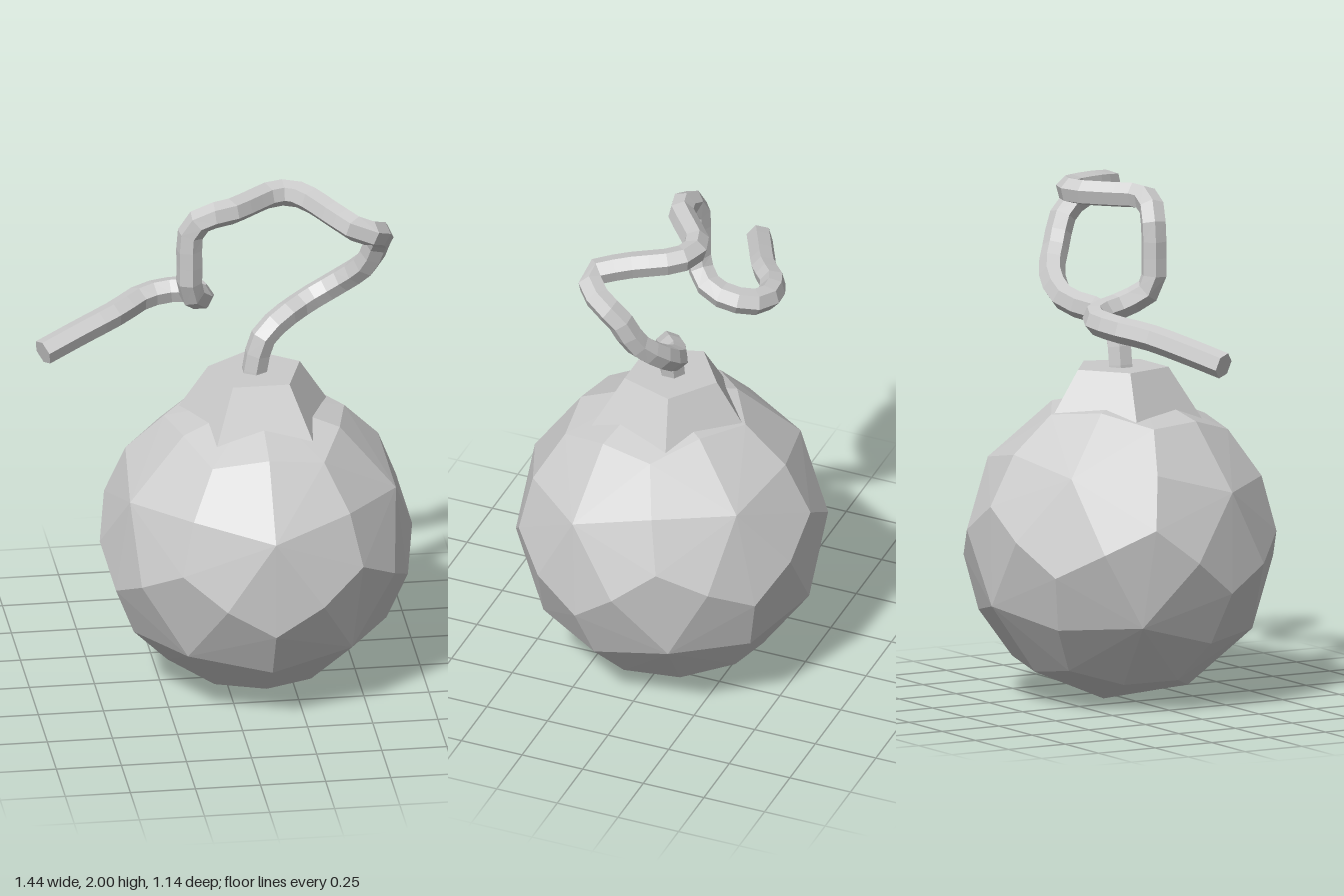
import * as THREE from 'three';
import { ConvexGeometry } from 'three/addons/geometries/ConvexGeometry.js';

const material = new THREE.MeshStandardMaterial({ color: 0xcccccc, flatShading: true });

const CENTRE_X = 0.12;
const RADIUS = 0.6;

// Icosahedron corners, edge midpoints and face centres pushed out to the sphere: 120 facets.
function facetedBall(radius) {
  const corners = [new THREE.Vector3(0, -1, 0), new THREE.Vector3(0, 1, 0)];
  const ringY = 1 / Math.sqrt(5);
  for (let i = 0; i < 10; i++) {
    const a = (i * Math.PI) / 5;
    corners.push(new THREE.Vector3(2 * ringY * Math.sin(a), i % 2 ? ringY : -ringY, -2 * ringY * Math.cos(a)));
  }
  const near = (a, b) => a.distanceTo(b) < 1.2;
  const points = corners.map((c) => c.clone());
  corners.forEach((a, i) => {
    for (let j = i + 1; j < corners.length; j++) {
      const b = corners[j];
      if (!near(a, b)) continue;
      points.push(a.clone().add(b));
      for (let k = j + 1; k < corners.length; k++) {
        const c = corners[k];
        if (near(a, c) && near(b, c)) points.push(a.clone().add(b).add(c));
      }
    }
  });
  return new ConvexGeometry(points.map((p) => p.setLength(radius)));
}

// Flat end cap made from one ring of a tube.
function tubeCap(tube, ring, sides, flip) {
  const pos = tube.attributes.position;
  const corner = (i) => new THREE.Vector3().fromBufferAttribute(pos, ring * (sides + 1) + i);
  const points = [];
  for (let i = 1; i < sides - 1; i++) {
    points.push(corner(0), corner(flip ? i + 1 : i), corner(flip ? i : i + 1));
  }
  const geometry = new THREE.BufferGeometry().setFromPoints(points);
  geometry.computeVertexNormals();
  return geometry;
}

export function createModel() {
  const model = new THREE.Group();
  model.name = 'bomb';
  const add = (name, geometry, parent = model, mat = material) => {
    const mesh = new THREE.Mesh(geometry, mat);
    mesh.name = name;
    parent.add(mesh);
    return mesh;
  };

  // Body, tipped slightly forward
  const body = add('body', facetedBall(RADIUS));
  body.position.set(CENTRE_X, RADIUS, 0);
  body.rotation.x = THREE.MathUtils.degToRad(7);

  // Five-sided collar sunk into the top, one corner to the back
  const collar = add('collar', new THREE.CylinderGeometry(0.185, 0.315, 0.2, 5));
  collar.position.set(CENTRE_X, 1.18, 0);
  collar.rotation.y = Math.PI;

  // Winding fuse
  const path = new THREE.CatmullRomCurve3([
    [0.11, 1.22, 0], [0.12, 1.32, 0], [0.15, 1.42, 0], [0.22, 1.475, -0.03],
    [0.34, 1.515, -0.11], [0.46, 1.59, -0.1], [0.55, 1.69, -0.03], [0.585, 1.81, 0.03],
    [0.58, 1.87, 0.11], [0.5, 1.915, 0.175], [0.42, 1.935, 0.07], [0.33, 1.945, -0.09],
    [0.27, 1.95, -0.14], [0.19, 1.95, -0.13], [0.09, 1.95, -0.05], [0, 1.95, 0.015],
    [-0.08, 1.935, 0.015], [-0.13, 1.87, 0], [-0.135, 1.75, 0], [-0.13, 1.62, -0.01],
    [-0.08, 1.56, -0.08], [-0.085, 1.53, -0.2], [-0.14, 1.515, -0.265], [-0.27, 1.5, -0.255],
    [-0.39, 1.475, -0.17], [-0.55, 1.435, -0.09], [-0.695, 1.395, -0.02],
  ].map((p) => new THREE.Vector3(...p)), false, 'centripetal');
  const sides = 6;
  const segments = 48;
  const fuse = new THREE.Group();
  fuse.name = 'fuse';
  model.add(fuse);
  const tube = new THREE.TubeGeometry(path, segments, 0.051, sides, false);
  add('fuseCord', tube, fuse);
  const capMaterial = material.clone();
  capMaterial.side = THREE.DoubleSide;
  add('fuseTip', tubeCap(tube, segments, sides, true), fuse, capMaterial);

  return model;
}
